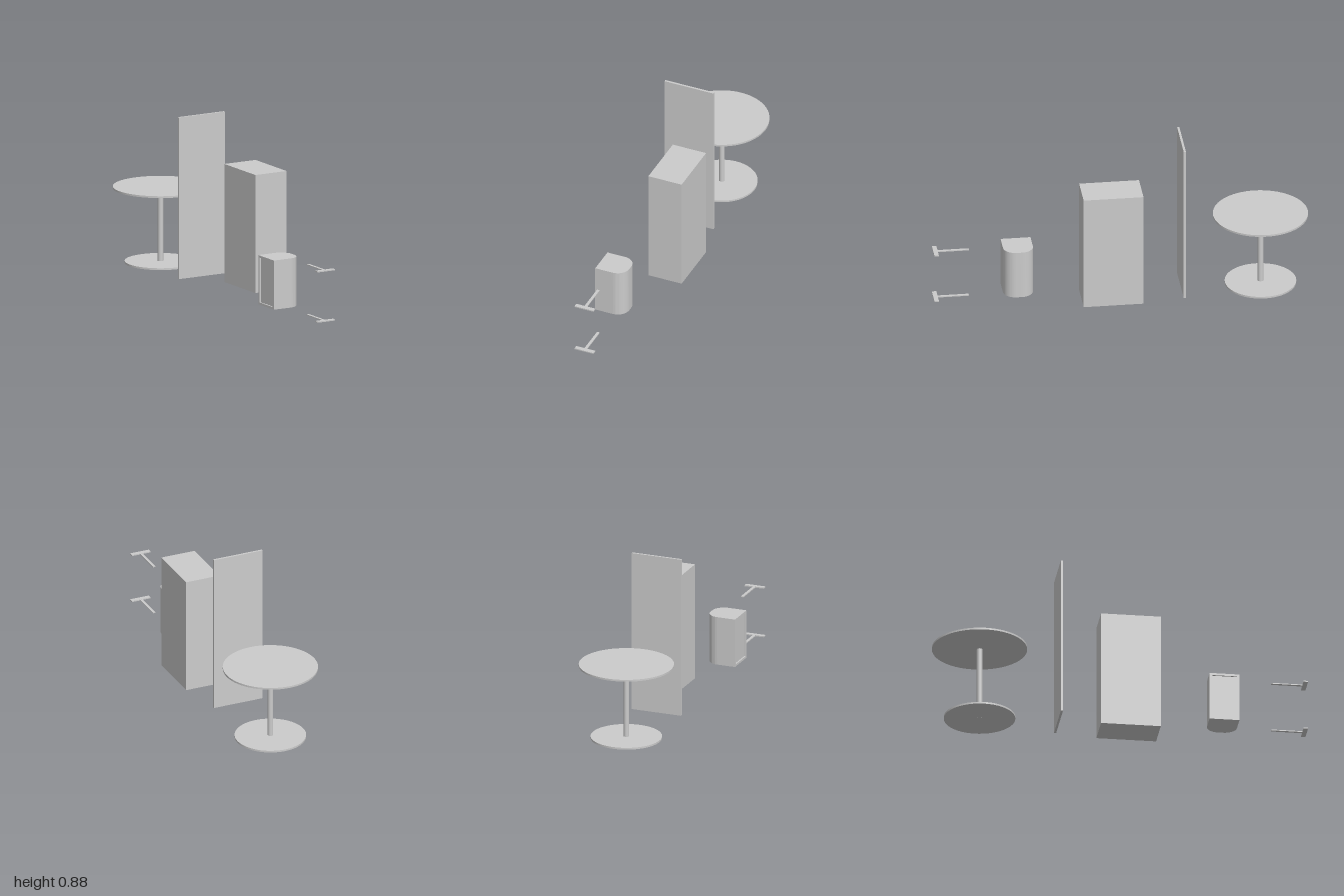
import * as THREE from 'three';
import { toCreasedNormals } from 'three/addons/utils/BufferGeometryUtils.js';

const material = new THREE.MeshStandardMaterial({ color: 0xcccccc });

function add(parent, name, geometry, x, y, z) {
  const mesh = new THREE.Mesh(geometry, material);
  mesh.name = name;
  mesh.position.set(x, y, z);
  parent.add(mesh);
  return mesh;
}

// Box given by its lower and upper bounds
function block(parent, name, [x0, x1], [y0, y1], [z0, z1]) {
  const geometry = new THREE.BoxGeometry(x1 - x0, y1 - y0, z1 - z0);
  return add(parent, name, geometry, (x0 + x1) / 2, (y0 + y1) / 2, (z0 + z1) / 2);
}

function disc(parent, name, radius, y0, y1, z) {
  const geometry = new THREE.CylinderGeometry(radius, radius, y1 - y0, 64);
  return add(parent, name, geometry, 0, (y0 + y1) / 2, z);
}

function createTable() {
  const table = new THREE.Group();
  table.name = 'table';
  const z = -0.747;
  disc(table, 'tableTop', 0.253, 0.406, 0.416, z);
  disc(table, 'tablePole', 0.015, 0, 0.407, z);
  disc(table, 'tableBase', 0.19, 0.001, 0.011, z);
  return table;
}

function createBin() {
  const bin = new THREE.Group();
  bin.name = 'bin';
  const height = 0.267, half = 0.08, back = -0.125, front = 0.043;
  const radius = 0.066, lip = 0.008, rim = 0.012;

  // D-shaped body, rounded on the +x side
  const plan = new THREE.Shape();
  plan.moveTo(back + lip, -half);
  plan.lineTo(front - radius, -half);
  plan.absarc(front - radius, -half + radius, radius, -Math.PI / 2, 0, false);
  plan.absarc(front - radius, half - radius, radius, 0, Math.PI / 2, false);
  plan.lineTo(back + lip, half);
  plan.closePath();
  const body = new THREE.ExtrudeGeometry(plan, { depth: height, bevelEnabled: false, curveSegments: 16 });
  body.rotateX(-Math.PI / 2);
  add(bin, 'binBody', toCreasedNormals(body, 0.6), 0, 0.017, 0.547);

  // Rim around the recessed flat side
  const frame = new THREE.Shape();
  frame.moveTo(-half, 0);
  frame.lineTo(half, 0);
  frame.lineTo(half, height);
  frame.lineTo(-half, height);
  frame.closePath();
  const hole = new THREE.Path();
  hole.moveTo(-half + rim, rim);
  hole.lineTo(-half + rim, height - rim);
  hole.lineTo(half - rim, height - rim);
  hole.lineTo(half - rim, rim);
  hole.closePath();
  frame.holes.push(hole);
  const rimGeometry = new THREE.ExtrudeGeometry(frame, { depth: lip, bevelEnabled: false });
  rimGeometry.rotateY(Math.PI / 2);
  add(bin, 'binRim', rimGeometry, back, 0.017, 0.547);
  return bin;
}

export function createModel() {
  const model = new THREE.Group();
  model.name = 'furnitureSet';

  model.add(createTable());
  block(model, 'panel', [-0.143, 0.141], [0.007, 0.885], [-0.331, -0.319]);
  block(model, 'cabinet', [0.004, 0.197], [0.017, 0.658], [-0.097, 0.223]);
  model.add(createBin());

  // Two flat T-shaped brackets, one above the other
  for (const [name, y] of [['lowerBracket', 0.011], ['upperBracket', 0.284]]) {
    const bracket = new THREE.Group();
    bracket.name = name;
    block(bracket, 'crossbar', [-0.08, 0.03], [y, y + 0.006], [0.976, 1]);
    block(bracket, 'stem', [-0.033, -0.018], [y, y + 0.005], [0.81, 0.976]);
    model.add(bracket);
  }
  return model;
}
